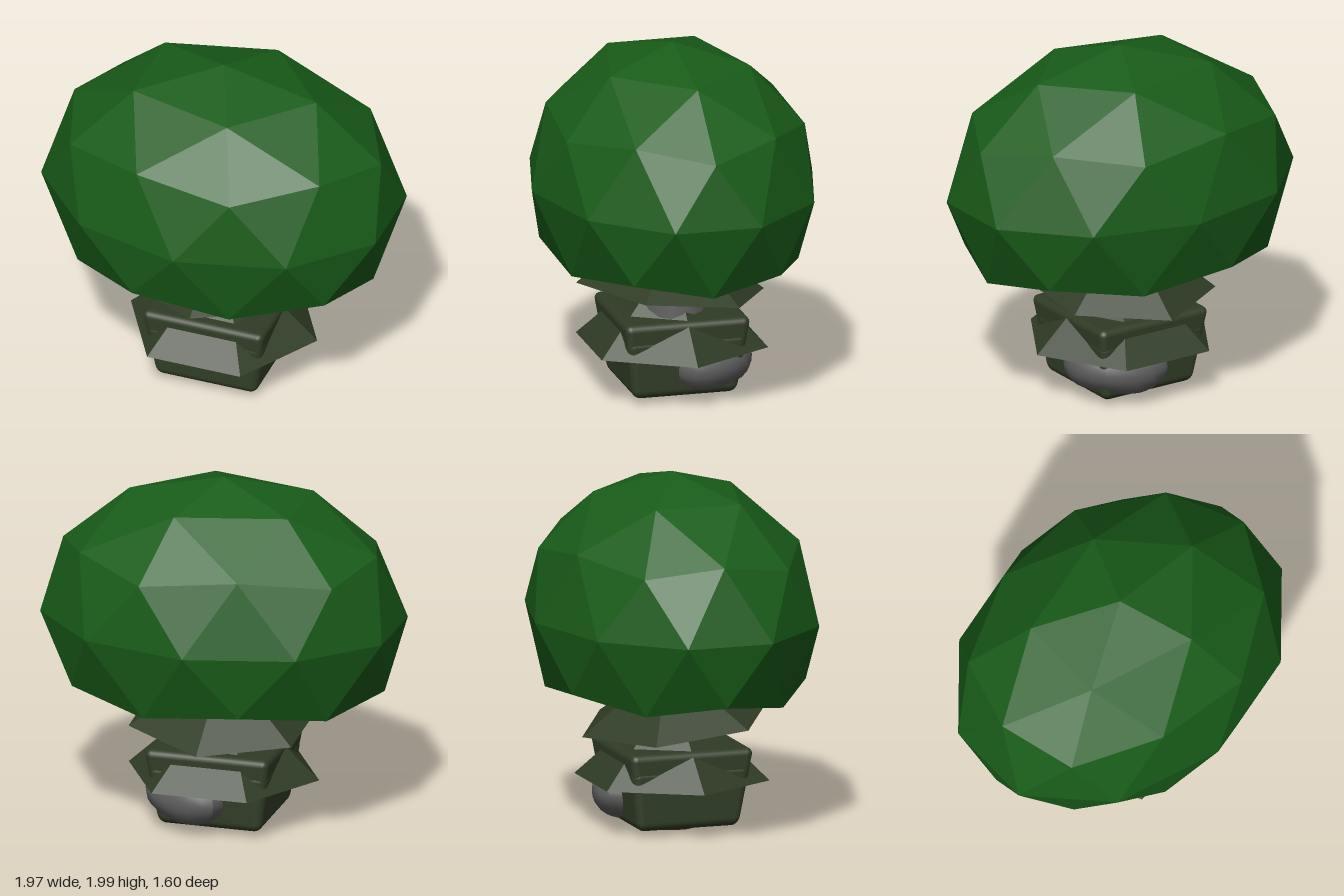
import * as THREE from 'three';
import { RoundedBoxGeometry } from 'three/addons/geometries/RoundedBoxGeometry.js';

function material(name, color) {
  const m = new THREE.MeshStandardMaterial({ color });
  m.name = name;
  return m;
}

// Moves every vertex by a rule
function reshape(geometry, rule) {
  const p = geometry.attributes.position;
  const v = new THREE.Vector3();
  for (let i = 0; i < p.count; i++) {
    rule(v.fromBufferAttribute(p, i));
    p.setXYZ(i, v.x, v.y, v.z);
  }
  geometry.computeVertexNormals();
  return geometry;
}

export function createModel() {
  const leaf = material('leafGreen', 0x195c19);
  const moss = material('mossGreen', 0x303c26);
  const stone = material('stoneGrey', 0x606060);
  const wood = material('barkBrown', 0x4e2d1a);
  moss.side = THREE.DoubleSide;

  const model = new THREE.Group();
  function add(name, geometry, mat, x = 0, y = 0, z = 0) {
    const mesh = new THREE.Mesh(geometry, mat);
    mesh.name = name;
    mesh.position.set(x, y, z);
    model.add(mesh);
    return mesh;
  }

  // Faceted canopy: icosphere standing on a pole, flat underside with a hollow in its middle
  const ico = new THREE.IcosahedronGeometry(1, 1);
  ico.rotateX(-Math.atan((1 + Math.sqrt(5)) / 2));
  ico.rotateY(Math.PI / 2);
  const canopy = reshape(ico, (v) => {
    if (v.y < -0.95) v.y = -0.05;
    else if (v.y < -0.7) v.y = -0.42;
    v.set(v.x * 1.034, v.y * 0.8, v.z * 0.8);
  });
  add('canopy', canopy, leaf, 0, 1.2, 0);

  // Branches reaching from the upper tier into the canopy
  function branch(name, y, z, side) {
    const a = new THREE.Vector3(0, y, z);
    const b = new THREE.Vector3(0, 0.95, z + side * (0.95 - y));
    const mesh = add(name, new THREE.CylinderGeometry(0.03, 0.035, a.distanceTo(b), 6), wood);
    mesh.position.copy(a).add(b).multiplyScalar(0.5);
    mesh.quaternion.setFromUnitVectors(new THREE.Vector3(0, 1, 0), b.sub(a).normalize());
  }
  branch('frontBranch', 0.78, 0.31, 1);
  branch('backBranch', 0.68, -0.21, -1);

  // Six-sided sloping tiers, open underneath
  function tier(name, top, bottom, y0, y1, turn) {
    const g = new THREE.CylinderGeometry(top, bottom, y1 - y0, 6, 1, true).toNonIndexed();
    g.rotateY(turn);
    g.computeVertexNormals();
    return add(name, g, moss, 0, (y0 + y1) / 2, 0);
  }
  const hat = tier('upperTier', 0.15, 0.54, 0.595, 0.84, 0);
  hat.rotation.set(-0.11, 0, 0.035);
  tier('lowerTier', 0.2, 0.548, 0.28, 0.6, Math.PI / 6);

  // Grey core showing between the tiers
  const core = new THREE.CylinderGeometry(0.25, 0.26, 0.14, 20);
  core.scale(1, 1, 0.8);
  add('core', core, stone, 0.03, 0.55, 0.015);

  // Square pot, narrower at the foot, with a rounded rim band
  function potPart(name, topHalf, bottomHalf, y0, y1, radius) {
    const h = y1 - y0;
    const g = new RoundedBoxGeometry(topHalf * 2, h, topHalf * 2, 3, radius);
    const p = g.attributes.position;
    for (let i = 0; i < p.count; i++) {
      const t = p.getY(i) / h + 0.5;
      const s = (bottomHalf + (topHalf - bottomHalf) * t) / topHalf;
      p.setXYZ(i, p.getX(i) * s, p.getY(i), p.getZ(i) * s);
    }
    add(name, g, moss, 0, (y0 + y1) / 2, 0);
  }
  potPart('pot', 0.35, 0.295, 0.04, 0.4, 0.05);
  potPart('potRim', 0.36, 0.335, 0.325, 0.485, 0.04);

  // Boulder bulging around one back corner of the pot
  const boulder = reshape(new THREE.SphereGeometry(1, 20, 14), (v) => {
    const k = 1 + 0.04 * Math.sin(v.x * 4 + 1) * Math.cos(v.y * 3);
    v.set(v.x * 0.3 * k, v.y * 0.165 * k, v.z * 0.21 * k);
  });
  add('boulder', boulder, stone, 0.155, 0.205, -0.18).rotation.y = -Math.PI / 4;

  // Wooden plug and four small studs under the pot
  add('plug', new THREE.CylinderGeometry(0.16, 0.14, 0.035, 14), wood, 0, 0.025, 0);
  for (const x of [-0.17, 0.17]) {
    for (const z of [-0.17, 0.17]) {
      add('stud', new THREE.CylinderGeometry(0.014, 0.014, 0.025, 8), stone, x, 0.037, z);
    }
  }

  return model;
}
